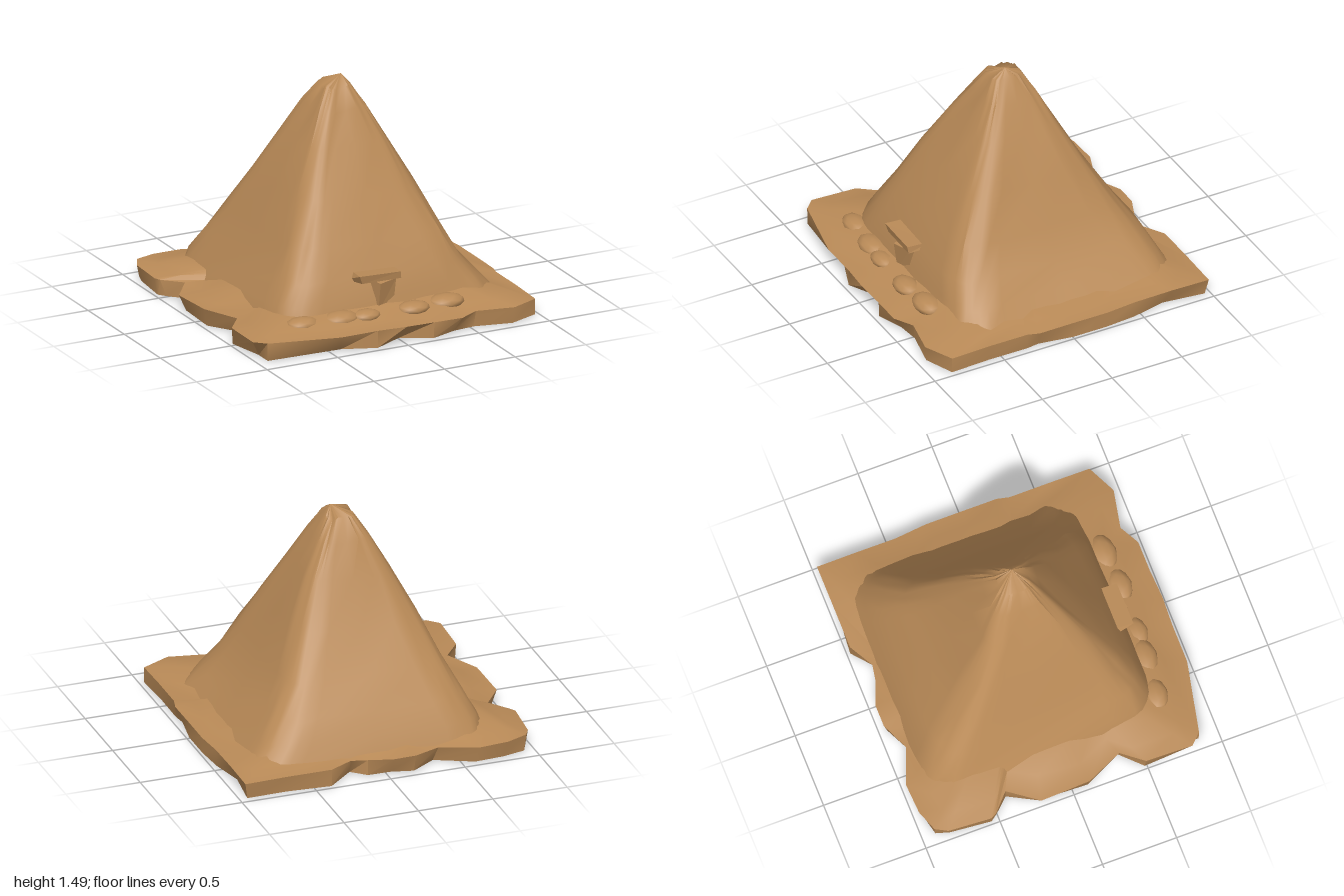
import * as THREE from 'three';
import { toCreasedNormals } from 'three/addons/utils/BufferGeometryUtils.js';

const sand = new THREE.MeshStandardMaterial({ color: 0xb98a57 });
sand.name = 'sand';

// Repeatable noise in -1..1
const noise = (a, b = 0) => {
  const s = Math.sin(a * 12.9898 + b * 78.233) * 43758.5453;
  return (s - Math.floor(s)) * 2 - 1;
};

// Skin a stack of equal-length closed rings of [x, y, z], first ring lowest
function loft(rings, crease) {
  const n = rings[0].length, pos = [];
  const same = (p, q) => p.every((v, k) => Math.abs(v - q[k]) < 1e-6);
  const tri = (a, b, c) => {
    if (!same(a, b) && !same(b, c) && !same(a, c)) pos.push(...a, ...b, ...c);
  };
  for (let j = 0; j < rings.length - 1; j++) {
    for (let i = 0; i < n; i++) {
      const k = (i + 1) % n;
      const a = rings[j][i], b = rings[j][k], c = rings[j + 1][i], d = rings[j + 1][k];
      tri(a, c, b);
      tri(b, c, d);
    }
  }
  const g = new THREE.BufferGeometry();
  g.setAttribute('position', new THREE.Float32BufferAttribute(pos, 3));
  return toCreasedNormals(g, crease);
}

// Ragged rim of the ground slab, [x, z]
const rim = [
  [-0.98, -0.84], [-0.94, -0.92], [-0.8, -0.97], [-0.6, -0.98], [-0.36, -0.89], [-0.18, -0.97],
  [-0.03, -0.97], [0.12, -0.91], [0.23, -0.89], [0.39, -0.98], [0.7, -0.98], [0.97, -0.98],
  [0.97, -0.72], [0.97, -0.45], [0.99, -0.24], [0.99, 0], [0.99, 0.24], [0.97, 0.32],
  [0.97, 0.6], [0.97, 0.86], [0.78, 0.95], [0.53, 0.9], [0.4, 0.97], [0.2, 0.97],
  [0, 0.98], [-0.2, 0.97], [-0.46, 0.97], [-0.93, 0.87], [-1, 0.8], [-0.99, 0.49],
  [-0.88, 0.35], [-0.99, 0.11], [-1, -0.22], [-0.86, -0.41], [-0.98, -0.52], [-1, -0.56],
];

function slabGeometry() {
  const ring = (scale, y, wobble = 0, lift = 0) => rim.map(([x, z], i) => {
    const s = scale + wobble * noise(i, scale * 9);
    return [x * s, y + lift * noise(i + 40, scale * 5), z * s];
  });
  // Underside rim, tucked in by uneven amounts
  const foot = rim.map(([x, z], i) => {
    const s = i === 24 ? 0.88 : 1 - 0.045 * (1 + noise(i, 3)) * (i % 2 ? 0.3 : 1);
    return [x * s, 0.005, z * s];
  });
  return loft([
    ring(0, 0), foot, ring(1, 0.115, 0, 0.006), ring(0.87, 0.135, 0.03, 0.015),
    ring(0.74, 0.18, 0.02, 0.02), ring(0.5, 0.2),
  ], 0.7);
}

// Pyramid levels: y, left, right, back, front, corner roundness
const levels = [
  [0.1, -0.75, 0.86, -0.87, 0.71, 0.26],
  [0.22, -0.71, 0.75, -0.82, 0.67, 0.26],
  [0.36, -0.63, 0.65, -0.74, 0.62, 0.28],
  [0.55, -0.54, 0.54, -0.62, 0.53, 0.3],
  [0.82, -0.42, 0.41, -0.46, 0.4, 0.34],
  [1.1, -0.28, 0.28, -0.31, 0.25, 0.38],
  [1.3, -0.17, 0.17, -0.21, 0.14, 0.44],
  [1.43, -0.09, 0.09, -0.13, 0.07, 0.55],
  [1.49, 0.045, 0.045, -0.02, -0.02, 1],
];

function pyramidGeometry() {
  const n = 40;
  const rings = levels.map(([y, x0, x1, z0, z1, p], j) => Array.from({ length: n }, (_, i) => {
    const t = (i / n) * Math.PI * 2;
    const soft = (v) => Math.sign(v) * Math.pow(Math.abs(v) < 1e-9 ? 0 : Math.abs(v), p);
    const s = 1 + 0.016 * noise(Math.floor(i / 2), j);
    const last = j === levels.length - 1;
    return [
      (x0 + x1) / 2 + soft(Math.cos(t)) * s * (x1 - x0) / 2,
      y + (last ? 0 : 0.012 * noise(i, j + 20)),
      (z0 + z1) / 2 + soft(Math.sin(t)) * s * (z1 - z0) / 2,
    ];
  }));
  return loft(rings, 0.9);
}

// Weathered block: a box whose corners are pushed by a small rule
function block(w, h, d, jitter, seed) {
  const g = new THREE.BoxGeometry(w, h, d).toNonIndexed();
  const p = g.attributes.position;
  for (let i = 0; i < p.count; i++) {
    const id = (p.getX(i) > 0 ? 1 : 0) + (p.getY(i) > 0 ? 2 : 0) + (p.getZ(i) > 0 ? 4 : 0) + seed;
    p.setXYZ(i, p.getX(i) + jitter * noise(id, 1), p.getY(i) + jitter * noise(id, 2) * 0.4,
      p.getZ(i) + jitter * noise(id, 3) * 0.5);
  }
  g.computeVertexNormals();
  return g;
}

export function createModel() {
  const group = new THREE.Group();
  const add = (name, geometry, x = 0, y = 0, z = 0) => {
    const mesh = new THREE.Mesh(geometry, sand);
    mesh.name = name;
    mesh.position.set(x, y, z);
    group.add(mesh);
    return mesh;
  };

  add('groundSlab', slabGeometry());
  add('pyramid', pyramidGeometry());

  // Entrance: door post under an overhanging lintel
  add('lintel', block(0.3, 0.05, 0.15, 0.025, 10), -0.04, 0.362, 0.635);
  const door = add('door', block(0.13, 0.2, 0.12, 0.01, 30), -0.01, 0.24, 0.635);
  door.rotation.set(0.12, 0.25, 0);

  // Rubble drifted against the foot of the front
  [[-0.34, 0.72, 0.1], [-0.17, 0.74, 0.08], [0.16, 0.75, 0.09], [0.4, 0.73, 0.1], [-0.6, 0.7, 0.09]]
    .forEach(([x, z, r], i) => {
      const g = new THREE.IcosahedronGeometry(r, 1);
      g.scale(1.3, 0.5, 0.9);
      add('rubble' + (i + 1), g, x, 0.145, z);
    });
  return group;
}
